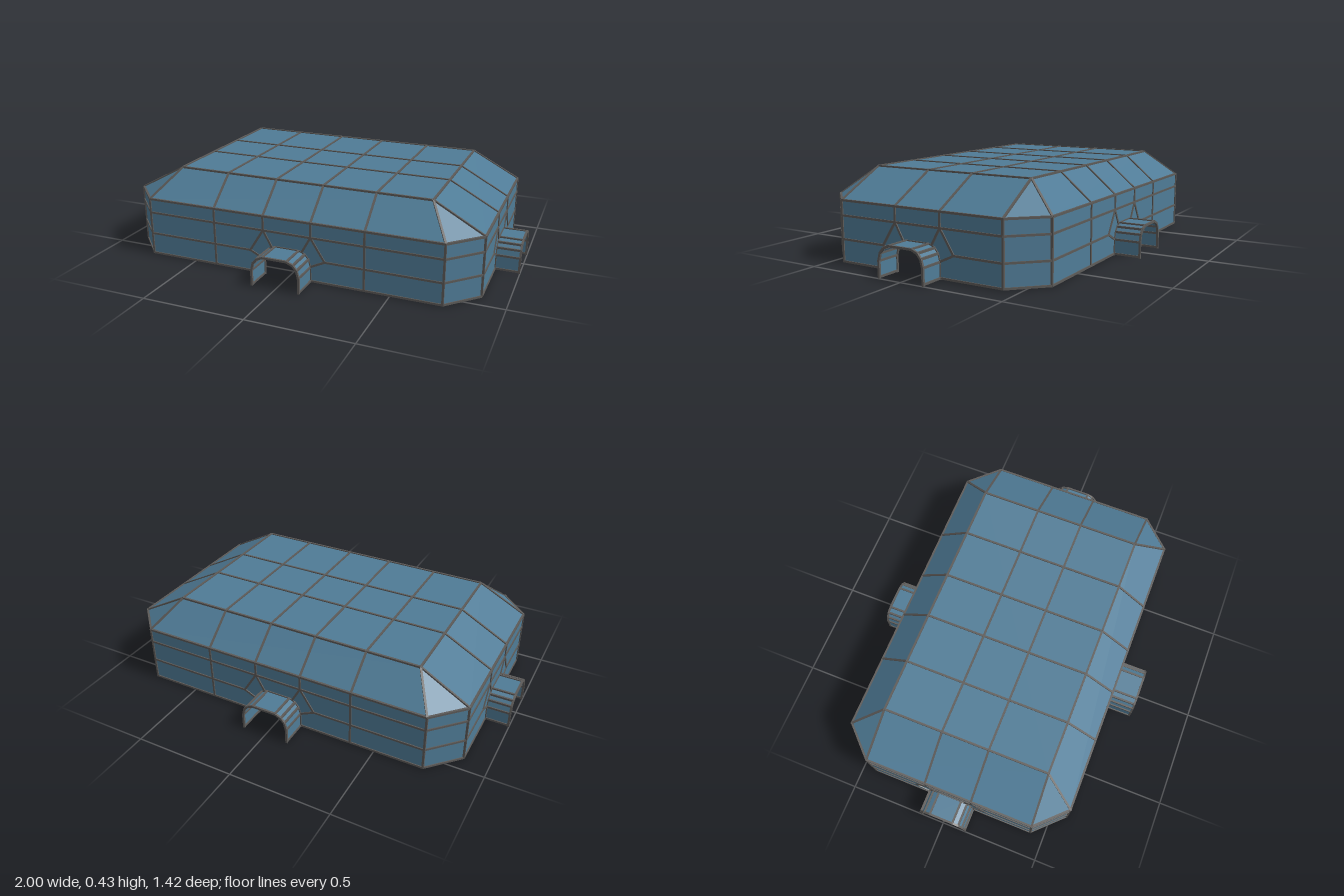
import * as THREE from 'three';
import { mergeGeometries } from 'three/addons/utils/BufferGeometryUtils.js';

const panelMat = new THREE.MeshStandardMaterial({ color: 0x4f7b96, flatShading: true, side: THREE.DoubleSide });
const frameMat = new THREE.MeshStandardMaterial({ color: 0x5c5a58 });

const EAVE = 0.29, TOP = 0.42, TOPX = 0.64, TOPZ = 0.42;
const WX = 0.88, WZ = 0.575, CX = 0.74, CZ = 0.43; // wall planes and chamfer starts
const BAR = 0.01, BASE = 0.005;
const ROWS = [BASE, 0.11, 0.22, EAVE];

// Half of the doorway outline, from the ground to the crown
const half = [[0.117, 0], [0.117, 0.075], [0.108, 0.11], [0.09, 0.132], [0.06, 0.145]];
const arch = [...half, ...half.map(([x, y]) => [-x, y]).reverse()];

// Flat polygon (fan) from 3D corners, counter-clockwise from outside
function face(...pts) {
  const pos = [];
  for (let i = 1; i < pts.length - 1; i++) pos.push(...pts[0], ...pts[i], ...pts[i + 1]);
  const g = new THREE.BufferGeometry();
  g.setAttribute('position', new THREE.Float32BufferAttribute(pos, 3));
  g.computeVertexNormals();
  return g;
}

// Thin square bar between two points
function bar(a, b) {
  const p = new THREE.Vector3(...a), q = new THREE.Vector3(...b);
  const g = new THREE.BoxGeometry(BAR, BAR, p.distanceTo(q) + BAR * 0.5);
  const o = new THREE.Object3D();
  o.position.copy(p).lerp(q, 0.5);
  o.lookAt(q);
  o.updateMatrix();
  return g.applyMatrix4(o.matrix);
}

function mesh(name, geometries, material) {
  const m = new THREE.Mesh(mergeGeometries(geometries), material);
  m.name = name;
  return m;
}

// One side with its roof slope, doorway and tunnel, facing local +z
function createSide(name, hw, d, topHw, topD, reach, seams) {
  const side = new THREE.Group();
  side.name = name;

  // Wall with the doorway cut out of its lower edge
  const s = new THREE.Shape();
  [[-hw, 0], ...arch.slice().reverse(), [hw, 0], [hw, EAVE], [-hw, EAVE]]
    .forEach(([x, y], i) => (i ? s.lineTo(x, y) : s.moveTo(x, y)));
  side.add(mesh('wall', [new THREE.ShapeGeometry(s).translate(0, 0, d)], panelMat));
  side.add(mesh('roofSlope', [face([-hw, EAVE, d], [hw, EAVE, d], [topHw, TOP, topD], [-topHw, TOP, topD])], panelMat));

  // Tunnel sheet
  const sheet = [];
  const bars = [];
  const end = d + reach;
  for (let i = 0; i < arch.length - 1; i++) {
    const [a, b] = [arch[i], arch[i + 1]];
    sheet.push(face([...a, d], [...a, end], [...b, end], [...b, d]));
    for (const z of [d, end - BAR / 2]) bars.push(bar([...a, z], [...b, z]));
  }
  for (const [x, y] of arch) {
    const py = Math.max(y, BASE);
    bars.push(bar([x, py, d], [x, py, end - BAR / 2]));
  }
  side.add(mesh('tunnel', sheet, panelMat), mesh('tunnelFrame', bars, frameMat));

  // Seams of the wall and the slope
  const lines = [];
  for (const y of [0.22, EAVE]) lines.push(bar([-hw, y, d], [hw, y, d]));
  lines.push(bar([-topHw, TOP, topD], [topHw, TOP, topD]));
  for (const m of [-1, 1]) {
    lines.push(bar([m * hw, BASE, d], [m * 0.117, BASE, d]));
    lines.push(bar([m * hw, 0.11, d], [m * 0.19, 0.11, d]));
    // Splayed struts around the doorway
    lines.push(bar([m * 0.12, 0.22, d], [m * 0.19, 0.11, d]));
    lines.push(bar([m * 0.19, 0.11, d], [m * 0.117, 0.075, d]));
    lines.push(bar([m * 0.12, 0.22, d], [m * 0.075, 0.14, d]));
    for (const x of seams) {
      lines.push(bar([m * x, x > 0.2 ? BASE : 0.22, d], [m * x, EAVE, d]));
      lines.push(bar([m * x, EAVE, d], [m * x, TOP, topD]));
    }
  }
  side.add(mesh('wallSeams', lines, frameMat));
  return side;
}

// Chamfered corner with its triangular roof piece
function createCorner(sx, sz) {
  const corner = new THREE.Group();
  corner.name = 'corner';
  const a = y => [sx * CX, y, sz * WZ], b = y => [sx * WX, y, sz * CZ];
  const [l, r] = sx * sz > 0 ? [a, b] : [b, a];
  const tip = [sx * TOPX, TOP, sz * TOPZ];
  corner.add(mesh('cornerPanels', [face(l(0), r(0), r(EAVE), l(EAVE)), face(l(EAVE), r(EAVE), tip)], panelMat));
  const bars = ROWS.map(y => bar(a(y), b(y)));
  for (const p of [a, b]) bars.push(bar(p(BASE), p(EAVE)), bar(p(EAVE), tip));
  corner.add(mesh('cornerFrame', bars, frameMat));
  return corner;
}

export function createModel() {
  const model = new THREE.Group();
  model.name = 'shelter';

  // Flat roof and its seam grid
  model.add(mesh('roof', [face([-TOPX, TOP, TOPZ], [TOPX, TOP, TOPZ], [TOPX, TOP, -TOPZ], [-TOPX, TOP, -TOPZ])], panelMat));
  const grid = [];
  for (const x of [-0.38, -0.12, 0.12, 0.38]) grid.push(bar([x, TOP, -TOPZ], [x, TOP, TOPZ]));
  for (const z of [-0.12, 0.12]) grid.push(bar([-TOPX, TOP, z], [TOPX, TOP, z]));
  model.add(mesh('roofSeams', grid, frameMat));

  // Four sides
  ['frontSide', 'leftSide', 'backSide', 'rightSide'].forEach((name, i) => {
    const side = i % 2
      ? createSide(name, CZ, WX, TOPZ, TOPX, 0.12, [0.12])
      : createSide(name, CX, WZ, TOPX, TOPZ, 0.135, [0.12, 0.38]);
    side.rotation.y = i * Math.PI / 2;
    model.add(side);
  });

  // Four corners
  for (const sx of [-1, 1]) for (const sz of [-1, 1]) model.add(createCorner(sx, sz));
  return model;
}
